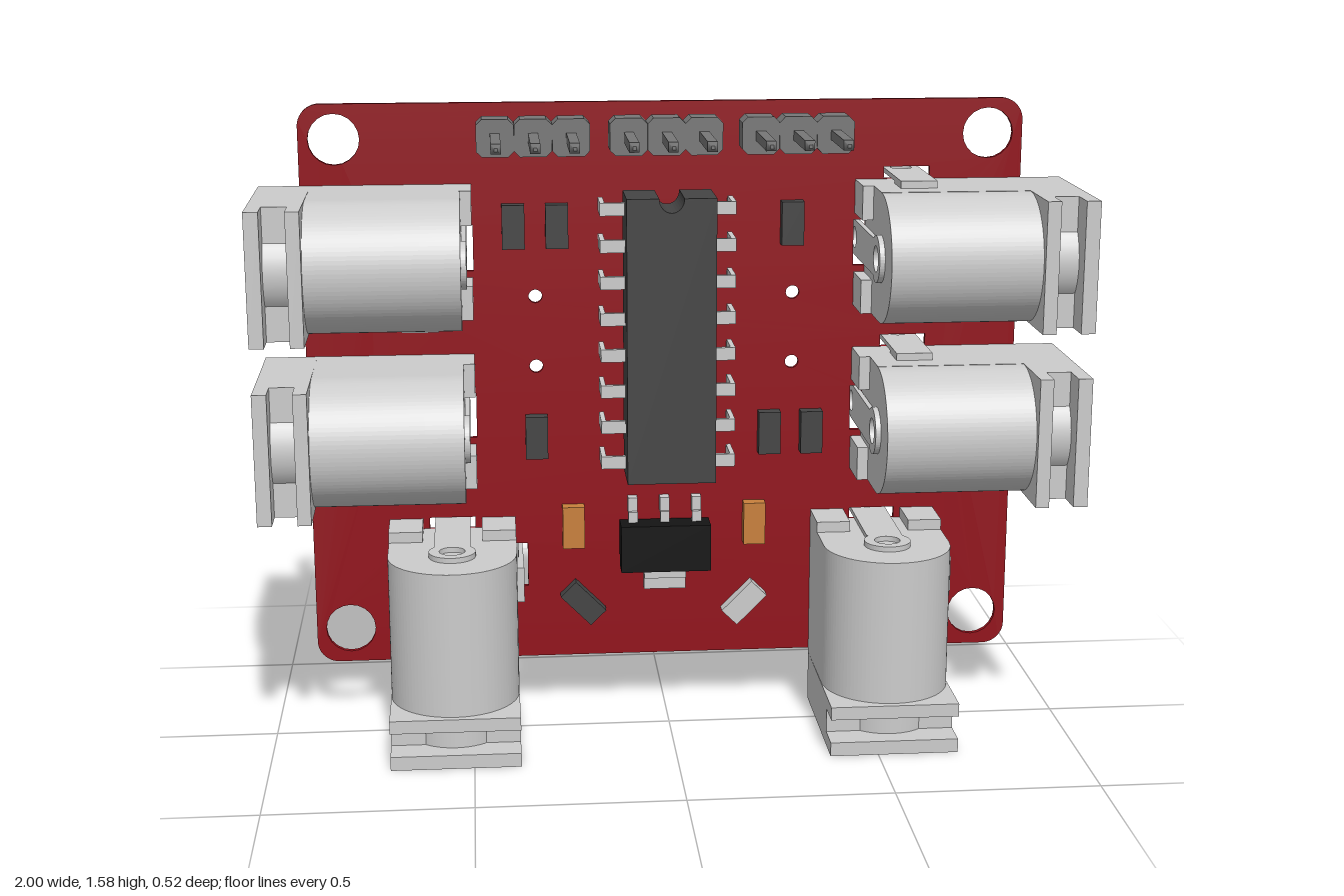
import * as THREE from 'three';

const mat = (color, side = THREE.FrontSide) => new THREE.MeshStandardMaterial({ color, side });
const grey = mat(0xcccccc);
const lining = mat(0xcccccc, THREE.DoubleSide);
const red = mat(0x92101a);
const dark = mat(0x444444);
const black = mat(0x141414);
const pinGrey = mat(0x777777);
const orange = mat(0xc8803c);

const BACK = -0.15, FACE = -0.137; // board surfaces

function add(parent, name, geometry, material, x = 0, y = 0, z = 0) {
  const mesh = new THREE.Mesh(geometry, material);
  mesh.name = name;
  mesh.position.set(x, y, z);
  parent.add(mesh);
  return mesh;
}

// box given by its x, y and z ranges
function block(parent, name, material, x0, x1, y0, y1, z0, z1) {
  return add(parent, name, new THREE.BoxGeometry(x1 - x0, y1 - y0, z1 - z0), material,
    (x0 + x1) / 2, (y0 + y1) / 2, (z0 + z1) / 2);
}

function circlePath(x, y, r) {
  return new THREE.Path().absarc(x, y, r, 0, Math.PI * 2, true);
}

// extrude a section drawn in (x, z) along y from y0 to y1
function alongY(shape, y0, y1) {
  const g = new THREE.ExtrudeGeometry(shape, { depth: y1 - y0, bevelEnabled: false, curveSegments: 24 });
  return g.rotateX(Math.PI / 2).translate(0, y1, 0);
}

const jacks = [
  [-0.545, 0, 0], [0.54, 0, 0],
  [-1, 1.22, -Math.PI / 2], [-1, 0.79, -Math.PI / 2],
  [1, 1.22, Math.PI / 2], [1, 0.79, Math.PI / 2],
];
// contact slots in jack coordinates: x, y, half width, half height
const slots = [[0.176, 0.39, 0.015, 0.058], [0, 0.507, 0.058, 0.015], [0, 0.28, 0.058, 0.012]];

function makeBoard() {
  const s = new THREE.Shape();
  const r = 0.055, x = 0.9, y0 = 0.14, y1 = 1.58;
  s.absarc(x - r, y1 - r, r, 0, Math.PI / 2);
  s.absarc(-x + r, y1 - r, r, Math.PI / 2, Math.PI);
  s.absarc(-x + r, y0 + r, r, Math.PI, Math.PI * 1.5);
  s.absarc(x - r, y0 + r, r, Math.PI * 1.5, Math.PI * 2);
  for (const side of [-1, 1]) {
    for (const y of [0.23, 1.493]) s.holes.push(circlePath(side * 0.813, y, 0.063));
    for (const y of [0.915, 1.095]) s.holes.push(circlePath(side * 0.325, y, 0.017));
  }
  for (const [px, py, a] of jacks) {
    for (const [cx, cy, w, h] of slots) {
      const corners = [[-w, -h], [w, -h], [w, h], [-w, h]].map(([dx, dy]) =>
        new THREE.Vector2(cx + dx, cy + dy).rotateAround(new THREE.Vector2(), a).add(new THREE.Vector2(px, py)));
      s.holes.push(new THREE.Path(corners));
    }
  }
  return new THREE.ExtrudeGeometry(s, { depth: FACE - BACK, bevelEnabled: false, curveSegments: 10 })
    .translate(0, 0, BACK);
}

// solder lug: a flat strip with a round, pierced end
function lugGeometry(top, half) {
  const s = new THREE.Shape();
  s.moveTo(half, top);
  s.lineTo(-half, top);
  s.lineTo(-half, -0.215);
  s.absarc(0, -0.215, half, Math.PI, Math.PI * 2);
  s.holes.push(circlePath(0, -0.215, 0.027));
  return alongY(s, -0.006, 0.006);
}

function makeJack() {
  const g = new THREE.Group();
  const W = 0.16, base = FACE, axis = 0.1, R = 0.117;

  // flange plates either side of the slot
  const plate = new THREE.Shape([[-W, base], [W, base], [W, 0.265], [-W, 0.265]].map(p => new THREE.Vector2(...p)));
  plate.holes.push(circlePath(0, axis, R));
  add(g, 'flangeFront', alongY(plate, 0, 0.035), grey);
  add(g, 'flangeRear', alongY(plate, 0.095, 0.128), grey);

  // slot floor, opened by the socket
  const a = Math.asin((0.19 - axis) / R);
  const slot = new THREE.Shape();
  slot.moveTo(-W, 0.19);
  slot.lineTo(-W, base);
  slot.lineTo(W, base);
  slot.lineTo(W, 0.19);
  slot.lineTo(R * Math.cos(a), 0.19);
  slot.absarc(0, axis, R, a, -Math.PI - a, true);
  add(g, 'flangeSlot', alongY(slot, 0.035, 0.095), grey);

  // body with half-round top: hollow, then closed
  const section = () => {
    const s = new THREE.Shape();
    s.moveTo(-W, base);
    s.lineTo(W, base);
    s.lineTo(W, 0.09);
    s.absarc(0, 0.09, W - 0.001, 0, Math.PI);
    s.lineTo(-W, base);
    return s;
  };
  const hollow = section();
  hollow.holes.push(circlePath(0, axis, R));
  add(g, 'barrel', alongY(hollow, 0.128, 0.4), grey);
  add(g, 'barrelEnd', alongY(section(), 0.4, 0.493), grey);
  for (const s of [-1, 1]) {
    block(g, 'rearCorner', grey, Math.min(s * 0.075, s * W), Math.max(s * 0.075, s * W), 0.49, 0.52, base, -0.02);
  }

  // socket lining and centre pin
  add(g, 'socketLining', new THREE.CylinderGeometry(R, R, 0.398, 32, 1, true), lining, 0, 0.2, axis);
  add(g, 'centrePin', new THREE.CylinderGeometry(0.042, 0.042, 0.32, 20), grey, 0, 0.25, axis);
  add(g, 'pinTip', new THREE.SphereGeometry(0.042, 20, 12), grey, 0, 0.09, axis);

  // rivet ring at the closed end
  const ring = new THREE.Shape().absarc(0, axis, 0.058, 0, Math.PI * 2);
  ring.holes.push(circlePath(0, axis, 0.032));
  add(g, 'rivetRing', alongY(ring, 0.49, 0.506), grey);

  // contacts
  add(g, 'sideLug', lugGeometry(0.03, 0.045).rotateZ(Math.PI / 2), grey, 0.172, 0.39, 0);
  block(g, 'sideLugFoot', grey, 0.155, 0.17, 0.345, 0.435, -0.06, 0.03);
  add(g, 'rearLug', lugGeometry(0.06, 0.045), grey, 0, 0.5, 0);
  add(g, 'lowerLug', lugGeometry(-0.12, 0.045), grey, 0, 0.28, 0);
  return g;
}

function makeChip() {
  const g = new THREE.Group();
  // tapered case with a notch in its upper edge
  const s = new THREE.Shape();
  s.moveTo(-0.125, -0.357);
  s.lineTo(0.125, -0.357);
  s.lineTo(0.125, 0.357);
  s.absarc(0, 0.357, 0.035, 0, -Math.PI, true);
  s.lineTo(-0.125, 0.357);
  const geo = new THREE.ExtrudeGeometry(s, { depth: 0.15, bevelEnabled: false, curveSegments: 8 });
  const p = geo.attributes.position;
  for (let i = 0; i < p.count; i++) {
    const k = 1 - 0.12 * Math.abs(p.getZ(i) - 0.075) / 0.075;
    p.setX(i, p.getX(i) * k);
  }
  geo.computeVertexNormals();
  add(g, 'chipCase', geo, dark, 0.003, 1.008, -0.1);
  for (const side of [-1, 1]) {
    for (let i = 0; i < 8; i++) {
      const y = 1.33 - i * 0.0915;
      add(g, 'chipLegShoulder', new THREE.BoxGeometry(0.06, 0.032, 0.012), grey, side * 0.137, y, -0.025);
      add(g, 'chipLegUpper', new THREE.BoxGeometry(0.012, 0.032, 0.1), grey, side * 0.162, y, -0.07);
      add(g, 'chipLegLower', new THREE.BoxGeometry(0.01, 0.014, 0.15), grey, side * 0.162, y, -0.185);
    }
  }
  return g;
}

function makeHeader() {
  const g = new THREE.Group();
  const h = 0.046, c = 0.014;
  const s = new THREE.Shape([[-h + c, -h], [h - c, -h], [h, -h + c], [h, h - c], [h - c, h], [-h + c, h], [-h, h - c], [-h, -h + c]]
    .map(p => new THREE.Vector2(...p)));
  const geo = new THREE.ExtrudeGeometry(s, { depth: 0.072, bevelEnabled: false });
  for (let i = -1; i <= 1; i++) {
    add(g, 'headerBlock', geo, pinGrey, i * 0.0925, 0, -0.117);
    add(g, 'headerFoot', new THREE.BoxGeometry(0.03, 0.08, 0.022), pinGrey, i * 0.0925, 0, -0.127);
    add(g, 'headerPin', new THREE.BoxGeometry(0.024, 0.024, 0.36), pinGrey, i * 0.0925, 0, -0.03);
    for (const end of [-1, 1]) { // pointed pin ends
      const tip = new THREE.CylinderGeometry(0.006, 0.017, 0.016, 4).rotateY(Math.PI / 4).rotateX(end * Math.PI / 2);
      add(g, 'pinPoint', tip, pinGrey, i * 0.0925, 0, -0.03 + end * 0.188);
    }
  }
  return g;
}

export function createModel() {
  const model = new THREE.Group();
  add(model, 'circuitBoard', makeBoard(), red);

  for (const [x, y, angle] of jacks) {
    const jack = makeJack();
    jack.name = 'powerJack';
    jack.position.set(x, y, 0);
    jack.rotation.z = angle;
    model.add(jack);
  }

  const chip = makeChip();
  chip.name = 'chip';
  model.add(chip);

  for (const x of [-0.327, -0.002, 0.322]) {
    const header = makeHeader();
    header.name = 'pinHeader';
    header.position.set(x, 1.503, 0);
    model.add(header);
  }

  // small surface parts: name, material, x, y, angle
  const small = [
    ['resistor', dark, -0.378, 1.275, 0], ['resistor', dark, -0.27, 1.275, 0], ['resistor', dark, 0.32, 1.275, 0],
    ['resistor', dark, -0.327, 0.735, 0], ['resistor', dark, 0.267, 0.735, 0], ['resistor', dark, 0.375, 0.735, 0],
    ['resistor', dark, -0.213, 0.29, 0.78], ['lamp', grey, 0.205, 0.28, -0.78],
    ['capacitor', orange, -0.236, 0.495, 0], ['capacitor', orange, 0.23, 0.495, 0],
  ];
  for (const [name, m, x, y, angle] of small) {
    add(model, name, new THREE.BoxGeometry(0.056, 0.11, 0.034), m, x, y, FACE + 0.017).rotation.z = angle;
  }

  // voltage regulator
  block(model, 'regulatorCase', black, -0.117, 0.113, 0.385, 0.507, -0.13, -0.06);
  block(model, 'regulatorTab', grey, -0.055, 0.053, 0.355, 0.39, -0.11, -0.1);
  block(model, 'regulatorTabFoot', grey, -0.055, 0.053, 0.322, 0.36, FACE, -0.115);
  for (const x of [-0.084, -0.002, 0.08]) {
    block(model, 'regulatorLeg', grey, x - 0.012, x + 0.012, 0.5, 0.535, -0.11, -0.098);
    block(model, 'regulatorLegFoot', grey, x - 0.012, x + 0.012, 0.53, 0.57, FACE, -0.108);
  }
  return model;
}
